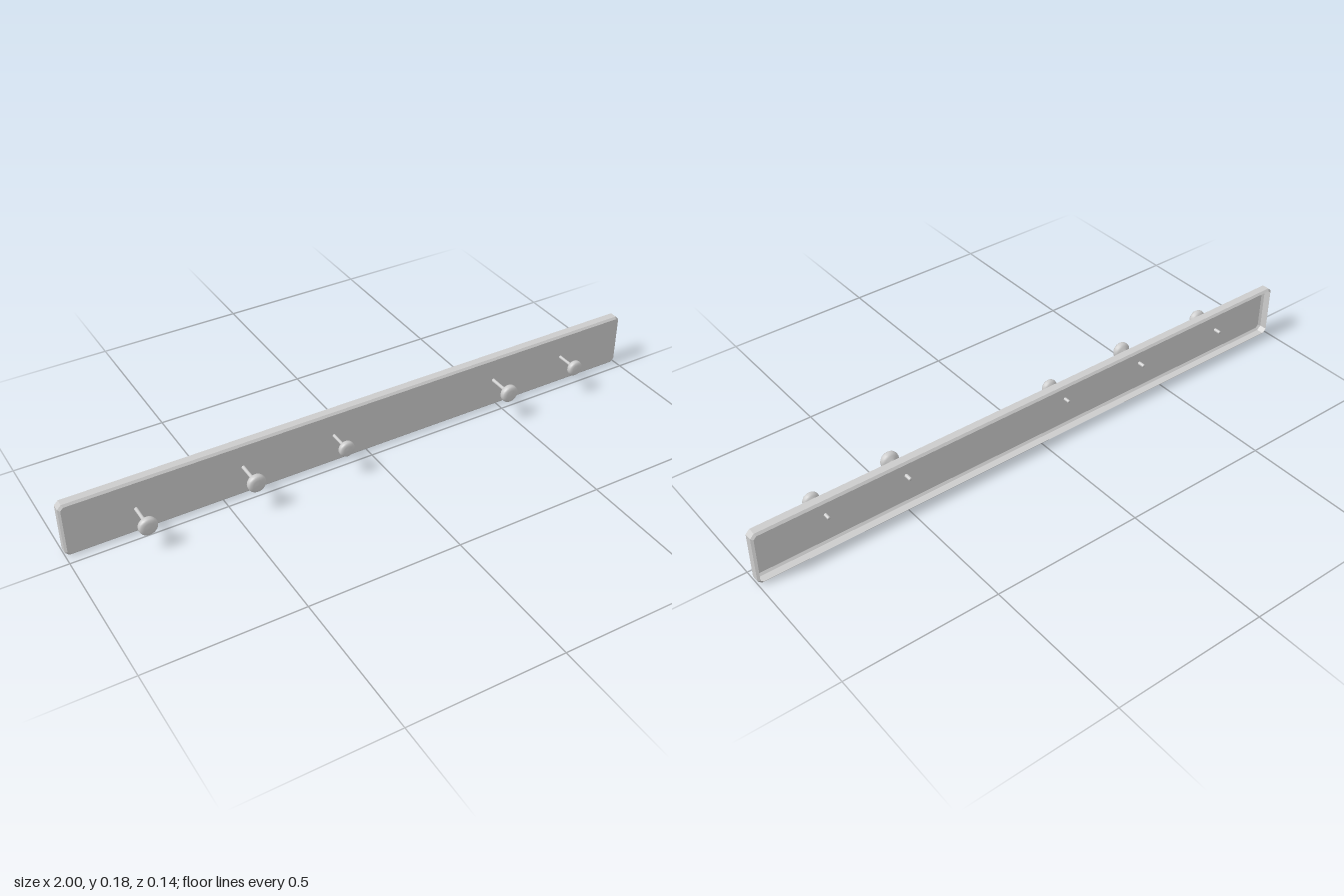
import * as THREE from 'three';

const grey = new THREE.MeshStandardMaterial({ color: 0xcccccc });
const boardMat = new THREE.MeshStandardMaterial({ color: 0xcccccc, flatShading: true, side: THREE.DoubleSide });

// Rectangle outline with cut corners, pulled in by an inset
function outline(inset, z) {
  const w = 1 - inset, h = 0.092 - inset, c = 0.013 - inset * 0.5;
  return [
    [w, -h + c], [w, h - c], [w - c, h], [-w + c, h],
    [-w, h - c], [-w, -h + c], [-w + c, -h], [w - c, -h],
  ].map(([x, y]) => [x, y + 0.092, z]);
}

// Bevelled shell, open at the back, from four outlines and a front face
function boardGeometry() {
  const rings = [
    outline(0.007, -0.068), outline(0, -0.062), outline(0, -0.037), outline(0.007, -0.031),
  ];
  const n = rings[0].length, index = [];
  for (let r = 0; r < rings.length - 1; r++) {
    for (let i = 0; i < n; i++) {
      const a = r * n + i, b = r * n + (i + 1) % n;
      index.push(a, b, b + n, a, b + n, a + n);
    }
  }
  const last = (rings.length - 1) * n;
  for (let i = 1; i < n - 1; i++) index.push(last, last + i, last + i + 1);
  const geo = new THREE.BufferGeometry();
  geo.setAttribute('position', new THREE.Float32BufferAttribute(rings.flat(2), 3));
  geo.setIndex(index);
  const flat = geo.toNonIndexed();
  flat.computeVertexNormals();
  return flat;
}

// Peg profile: radius, distance from the board face
const profile = [
  [0, -0.02], [0.0052, -0.02], [0.0052, 0], [0.0048, 0.03], [0.0052, 0.052], [0.0075, 0.059],
  [0.013, 0.0635], [0.021, 0.067], [0.0255, 0.072], [0.0268, 0.078],
  [0.0255, 0.084], [0.022, 0.088], [0.014, 0.0895], [0, 0.09],
].map(([r, d]) => new THREE.Vector2(r, d));

export function createModel() {
  const model = new THREE.Group();

  const board = new THREE.Mesh(boardGeometry(), boardMat);
  board.name = 'backBoard';
  model.add(board);

  // Pegs: x, y, scale
  const pegGeo = new THREE.LatheGeometry(profile, 24).rotateX(Math.PI / 2);
  const pegs = [
    [-0.776, 0.086, 1.13], [-0.43, 0.101, 1.13], [-0.118, 0.101, 1],
    [0.481, 0.101, 1.13], [0.755, 0.101, 1],
  ];
  pegs.forEach(([x, y, s], i) => {
    const peg = new THREE.Mesh(pegGeo, grey);
    peg.name = `peg${i + 1}`;
    peg.position.set(x, y, -0.031);
    peg.scale.setScalar(s);
    model.add(peg);
  });

  return model;
}
